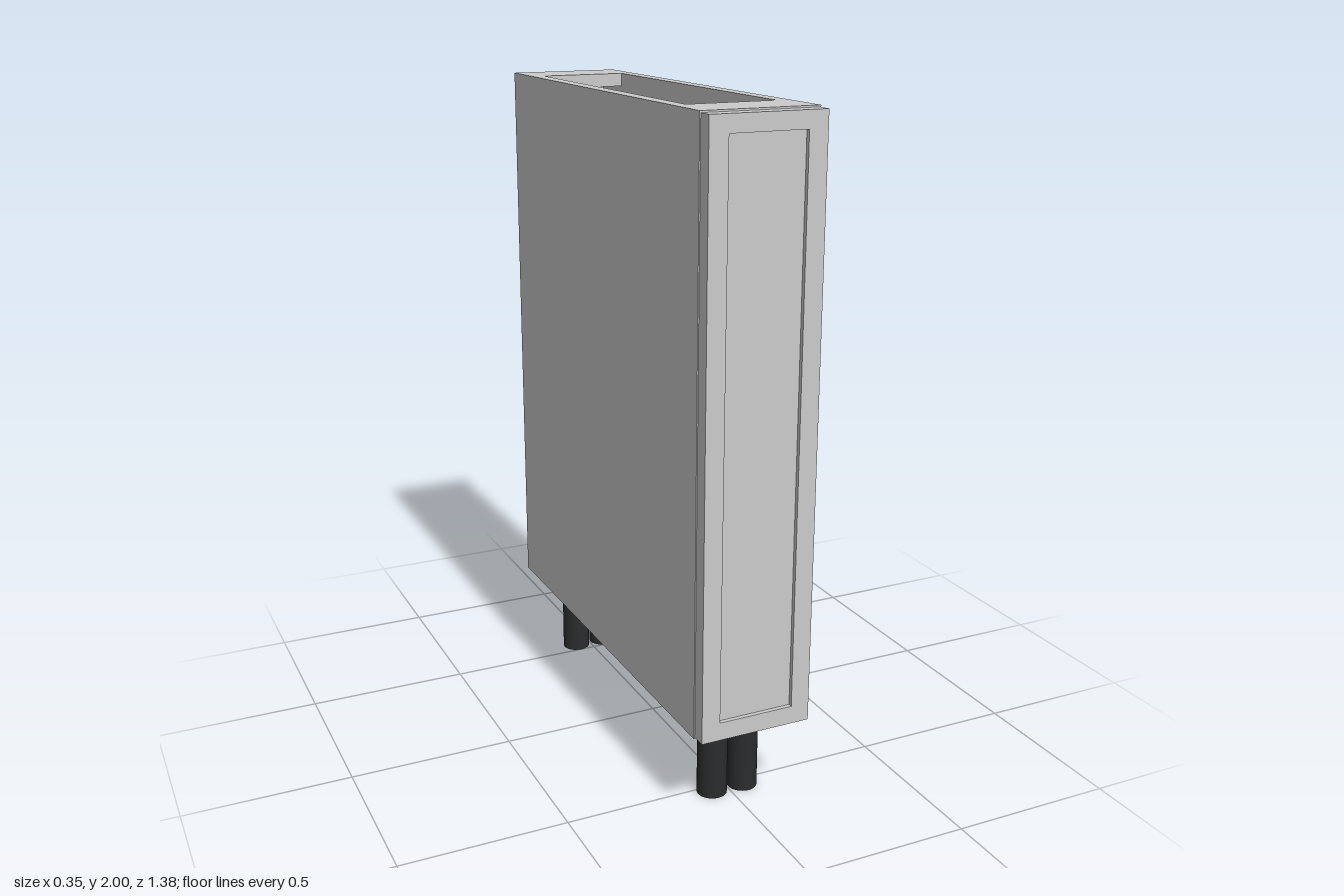
import * as THREE from 'three';

export function createModel() {
  const root = new THREE.Group();
  const grey = new THREE.MeshStandardMaterial({ color: 0xcccccc });
  const black = new THREE.MeshStandardMaterial({ color: 0x2a2c2d });
  const blueGrey = new THREE.MeshStandardMaterial({ color: 0xb4bec4 });

  // Box given by its limits on each axis
  function box(name, [x0, x1], [y0, y1], [z0, z1], material = grey, parent = root) {
    const mesh = new THREE.Mesh(new THREE.BoxGeometry(x1 - x0, y1 - y0, z1 - z0), material);
    mesh.position.set((x0 + x1) / 2, (y0 + y1) / 2, (z0 + z1) / 2);
    mesh.name = name;
    parent.add(mesh);
    return mesh;
  }
  // Interval on the left (+1) or right (-1) side
  const onSide = (s, inner, outer) => (s > 0 ? [inner, outer] : [-outer, -inner]);

  const outer = 0.173, inner = 0.133, bottom = 0.265, top = 2;
  const back = -0.69, front = 0.645;

  // Carcass
  for (const s of [1, -1]) {
    box(s > 0 ? 'leftSidePanel' : 'rightSidePanel', onSide(s, inner, outer), [bottom, top], [back, front]);
  }
  box('bottomPanel', [-inner, inner], [bottom, bottom + 0.04], [back, front]);
  box('backPanel', [-inner, inner], [bottom + 0.04, top - 0.04], [back, back + 0.015]);
  box('backTopRail', [-inner, inner], [top - 0.04, top], [back, -0.525]);
  box('frontTopRail', [-inner, inner], [top - 0.04, top], [0.485, front]);

  // Door: frame around a recessed panel
  const door = new THREE.Group();
  door.name = 'door';
  root.add(door);
  const frame = new THREE.Shape([
    [-0.17, 0.27], [0.17, 0.27], [0.17, 1.995], [-0.17, 1.995],
  ].map(([x, y]) => new THREE.Vector2(x, y)));
  frame.holes.push(new THREE.Path([
    [-0.114, 0.324], [-0.114, 1.946], [0.114, 1.946], [0.114, 0.324],
  ].map(([x, y]) => new THREE.Vector2(x, y))));
  const doorFrame = new THREE.Mesh(
    new THREE.ExtrudeGeometry(frame, { depth: 0.045, bevelEnabled: false }), grey);
  doorFrame.position.z = front;
  doorFrame.name = 'doorFrame';
  door.add(doorFrame);
  box('doorPanel', [-0.114, 0.114], [0.324, 1.946], [front, 0.677], grey, door);

  // Pull-out drawers inside
  for (const y of [0.4, 1.1]) {
    const drawer = new THREE.Group();
    drawer.name = 'drawer';
    root.add(drawer);
    box('drawerFloor', [-0.11, 0.11], [y, y + 0.02], [-0.52, 0.635], blueGrey, drawer);
    box('drawerBack', [-0.085, 0.085], [y + 0.02, y + 0.15], [-0.54, -0.525], grey, drawer);
    for (const s of [1, -1]) {
      box('drawerWall', onSide(s, 0.085, 0.097), [y + 0.02, y + 0.15], [-0.525, 0.635], grey, drawer);
      box('drawerRunner', onSide(s, 0.11, inner), [y, y + 0.05], [-0.55, 0.635], grey, drawer);
      box('backBracket', onSide(s, 0.072, 0.097), [y + 0.02, y + 0.17], [-0.525, -0.5], grey, drawer);
    }
  }

  // Legs
  const legGeometry = new THREE.CylinderGeometry(0.045, 0.045, bottom, 32);
  for (const x of [-0.05, 0.05]) {
    for (const z of [0.522, -0.544]) {
      const leg = new THREE.Mesh(legGeometry, black);
      leg.position.set(x, bottom / 2, z);
      leg.name = z > 0 ? 'frontLeg' : 'backLeg';
      root.add(leg);
    }
  }
  return root;
}
